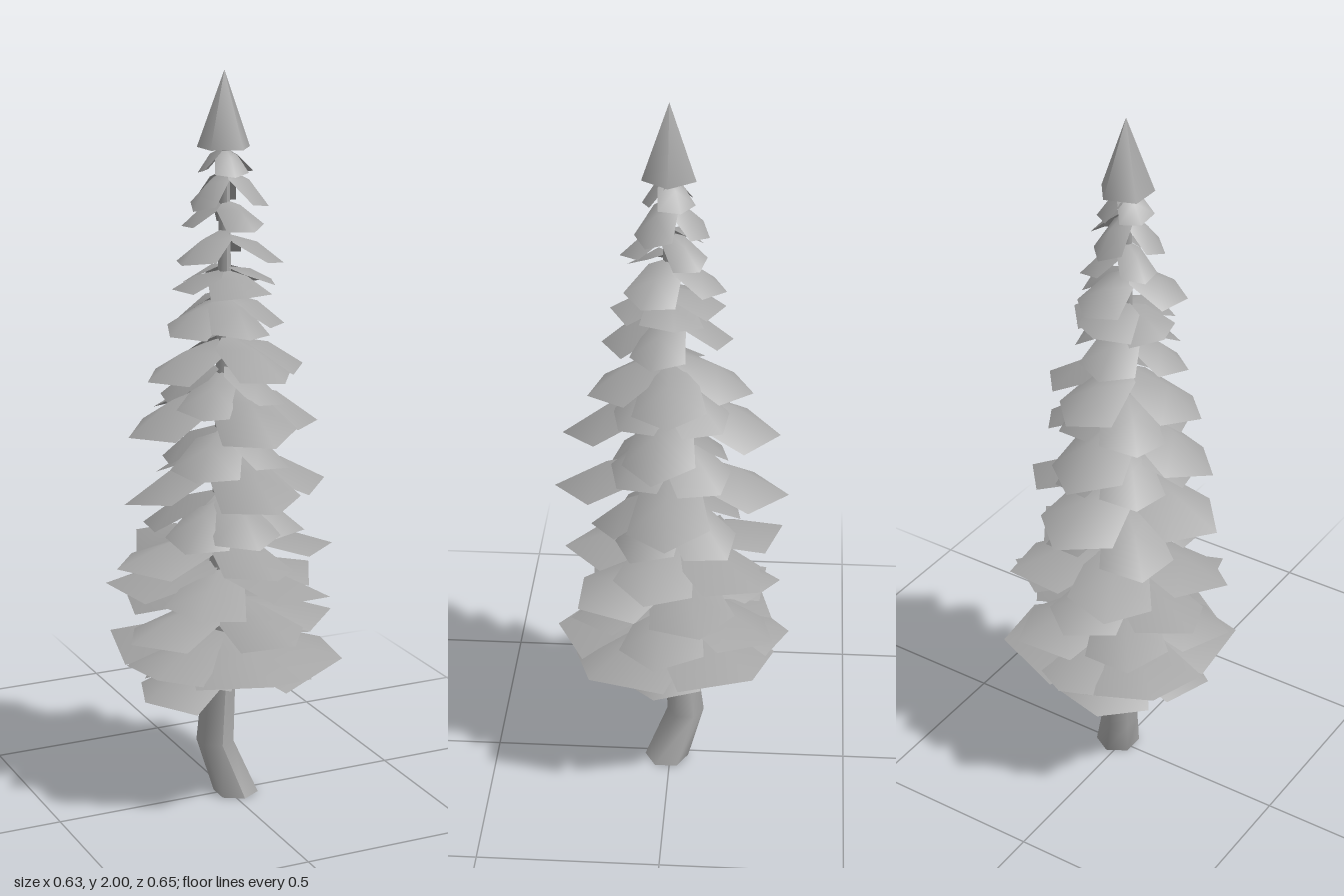
import * as THREE from 'three';

const grey = new THREE.MeshStandardMaterial({ color: 0xa6a6a6, side: THREE.DoubleSide });
grey.name = 'grey';

// Trunk centre line: height, x, z, radius
const TRUNK = [
  [0, 0.02, 0.01, 0.062],
  [0.14, -0.02, -0.042, 0.052],
  [0.42, -0.012, -0.018, 0.042],
  [1.0, -0.012, 0, 0.025],
  [1.82, -0.012, 0.005, 0.012],
];

// Branch tiers: root height, tip height, length, width, headings in degrees from the front
const TIERS = [
  [0.41, 0.33, 0.25, 0.24, [75, 200, 285]],
  [0.49, 0.43, 0.33, 0.34, [0, 48, 132, 180, 228, 304]],
  [0.58, 0.51, 0.31, 0.23, [15, 82, 150, 215, 285]],
  [0.67, 0.61, 0.31, 0.23, [40, 105, 180, 250, 325]],
  [0.77, 0.70, 0.31, 0.22, [5, 80, 140, 205, 275]],
  [0.88, 0.76, 0.23, 0.20, [0, 60, 135, 225, 310]],
  [0.99, 0.88, 0.30, 0.22, [0, 88, 178, 268]],
  [1.06, 0.95, 0.19, 0.19, [45, 135, 225, 315]],
  [1.19, 1.06, 0.28, 0.21, [0, 80, 180, 272]],
  [1.22, 1.12, 0.18, 0.18, [45, 140, 225, 320]],
  [1.31, 1.21, 0.23, 0.19, [20, 90, 170, 275]],
  [1.42, 1.33, 0.17, 0.16, [0, 75, 190, 285]],
  [1.49, 1.44, 0.15, 0.17, [0, 100, 180, 255]],
  [1.58, 1.50, 0.15, 0.14, [70, 170, 290]],
  [1.66, 1.59, 0.12, 0.11, [10, 130, 240]],
  [1.75, 1.65, 0.11, 0.11, [60, 165, 285]],
  [1.80, 1.73, 0.07, 0.10, [0, 120, 240]],
];

// Small seeded generator, returns -1 to 1
function makeJitter(seed) {
  return () => {
    seed = (seed * 16807) % 2147483647;
    return (seed / 2147483647) * 2 - 1;
  };
}

// Trunk centre at a given height
function trunkCentre(y) {
  let i = 0;
  while (i < TRUNK.length - 2 && TRUNK[i + 1][0] < y) i++;
  const [a, b] = [TRUNK[i], TRUNK[i + 1]];
  const t = (y - a[0]) / (b[0] - a[0]);
  return [a[1] + (b[1] - a[1]) * t, a[2] + (b[2] - a[2]) * t];
}

// Tapered, bent trunk: each row of a cylinder is moved onto the centre line
function trunkGeometry() {
  const rows = TRUNK.length - 1;
  const geometry = new THREE.CylinderGeometry(1, 1, 1, 6, rows);
  const p = geometry.attributes.position;
  for (let i = 0; i < p.count; i++) {
    const [y, x, z, r] = TRUNK[Math.round((p.getY(i) + 0.5) * rows)];
    p.setXYZ(i, x + p.getX(i) * r, y, z + p.getZ(i) * r);
  }
  geometry.computeVertexNormals();
  return geometry;
}

// Drooping pointed leaf, folded along its middle ridge, growing along +z
function leafGeometry(length, width, drop) {
  const fold = width * 0.14;
  const w = width / 2;
  const points = [
    [0, 0, 0],
    [0, -drop * 0.3, length * 0.55],
    [0, -drop, length],
    [w * 0.65, -drop * 0.15 - fold * 0.6, length * 0.12],
    [w, -drop * 0.7 - fold, length * 0.68],
    [-w * 0.65, -drop * 0.15 - fold * 0.6, length * 0.12],
    [-w, -drop * 0.7 - fold, length * 0.68],
  ];
  const geometry = new THREE.BufferGeometry();
  geometry.setAttribute('position', new THREE.Float32BufferAttribute(points.flat(), 3));
  geometry.setIndex([0, 1, 3, 3, 1, 4, 4, 1, 2, 0, 5, 1, 5, 6, 1, 6, 2, 1]);
  geometry.computeVertexNormals();
  return geometry;
}

export function createModel() {
  const tree = new THREE.Group();
  tree.name = 'coniferTree';
  const jitter = makeJitter(37);

  const trunk = new THREE.Mesh(trunkGeometry(), grey);
  trunk.name = 'trunk';
  tree.add(trunk);

  // Branch tiers
  TIERS.forEach(([rootY, tipY, length, width, headings], t) => {
    const tier = new THREE.Group();
    tier.name = `branchTier${t + 1}`;
    for (const heading of headings) {
      const size = 1 + jitter() * 0.07;
      const leaf = new THREE.Mesh(leafGeometry(length * size, width * size, rootY - tipY), grey);
      const y = rootY + jitter() * 0.012;
      const [x, z] = trunkCentre(y);
      leaf.name = 'branch';
      leaf.position.set(x, y, z);
      leaf.rotation.set(0, THREE.MathUtils.degToRad(heading), jitter() * 0.12, 'YXZ');
      tier.add(leaf);
    }
    tree.add(tier);
  });

  // Pointed crown
  const crown = new THREE.Mesh(new THREE.ConeGeometry(0.073, 0.2, 5), grey);
  crown.name = 'crown';
  crown.position.set(-0.012, 1.9, 0.003);
  crown.rotation.y = Math.PI / 2;
  tree.add(crown);

  return tree;
}
